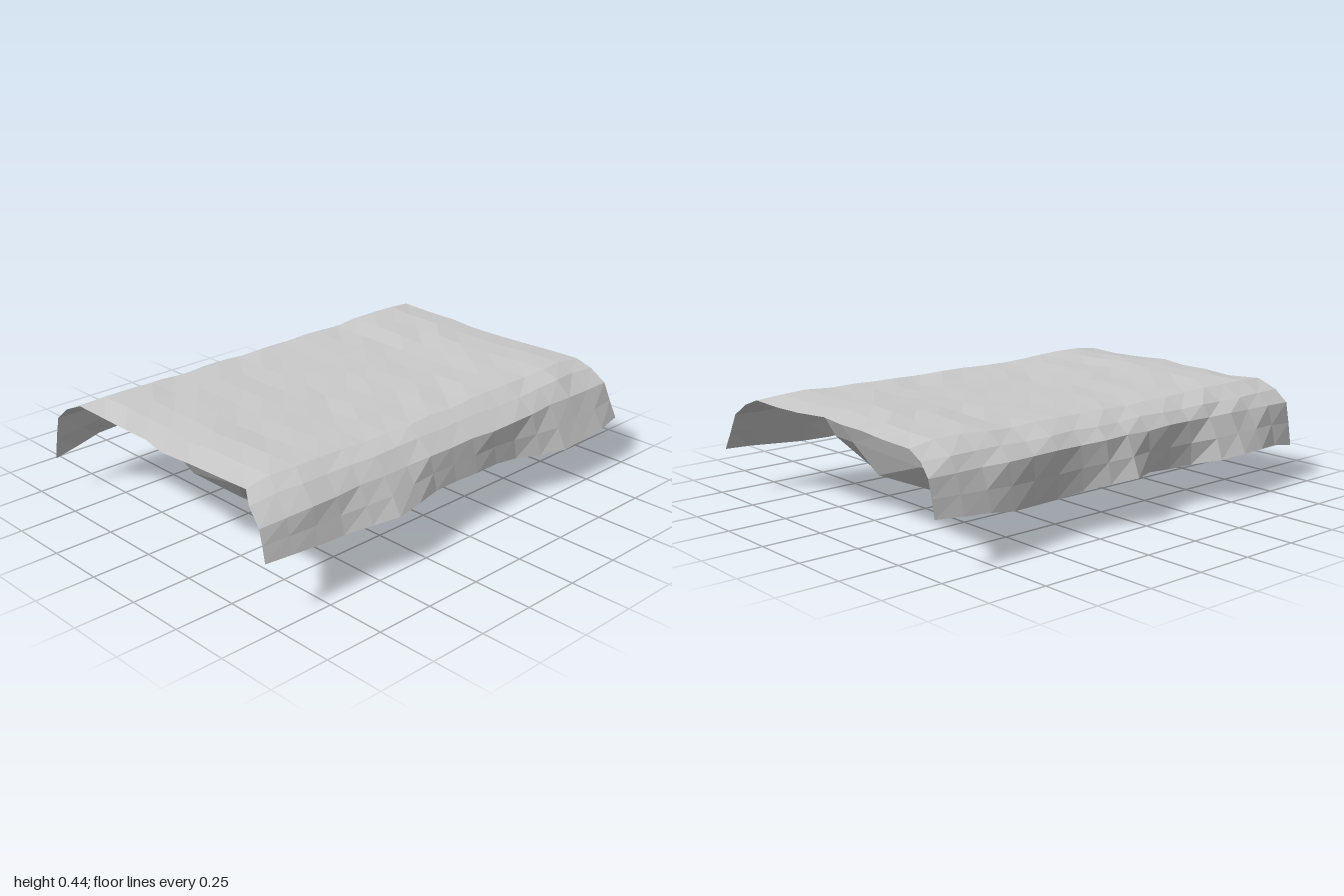
import * as THREE from 'three';

const { lerp } = THREE.MathUtils;
const material = new THREE.MeshStandardMaterial({
  color: 0xcccccc, flatShading: true, side: THREE.DoubleSide,
});

// Seeded noise in the range -1..1
function makeNoise(seed) {
  let s = seed;
  return () => {
    s = (s * 16807) % 2147483647;
    return (s / 2147483647) * 2 - 1;
  };
}

// Builds a surface from equally long rows of points
function loft(rows, closed, name) {
  const n = rows[0].length;
  const index = [];
  for (let r = 0; r < rows.length - 1; r++) {
    for (let i = 0; i < (closed ? n : n - 1); i++) {
      const j = (i + 1) % n;
      const a = r * n + i, b = r * n + j, c = a + n, d = b + n;
      index.push(a, c, b, b, c, d);
    }
  }
  const geometry = new THREE.BufferGeometry();
  geometry.setAttribute('position', new THREE.Float32BufferAttribute(rows.flat(2), 3));
  geometry.setIndex(index);
  geometry.computeVertexNormals();
  const mesh = new THREE.Mesh(geometry, material);
  mesh.name = name;
  return mesh;
}

// Depth and height of the wavy hems, from the right end (-x) to the left end (+x)
const backHemZ = [-0.69, -0.70, -0.73, -0.74, -0.72, -0.66, -0.65, -0.66, -0.72,
  -0.69, -0.66, -0.65, -0.66, -0.69, -0.70, -0.70, -0.69];
const backHemY = [0.16, 0.18, 0.19, 0.19, 0.18, 0.17, 0.17, 0.18, 0.19,
  0.18, 0.17, 0.16, 0.16, 0.17, 0.19, 0.20, 0.21];
const frontHemZ = [0.69, 0.69, 0.69, 0.69, 0.71, 0.73, 0.71, 0.68, 0.67,
  0.67, 0.66, 0.66, 0.69, 0.72, 0.72, 0.72, 0.70];
const frontHemY = [0.24, 0.23, 0.22, 0.215, 0.215, 0.215, 0.22, 0.22, 0.215,
  0.21, 0.205, 0.19, 0.175, 0.17, 0.18, 0.19, 0.20];

// Flat top sheet that droops over the front and back edges
function turf() {
  const noise = makeNoise(77);
  // z, y, left x, right x, and how far the row follows its hem
  const profile = [
    [-0.70, 0.18, -0.95, 0.98, 1], [-0.69, 0.27, -0.95, 0.98, 0.5], [-0.66, 0.35, -0.94, 0.98, 0],
    [-0.61, 0.395, -0.93, 0.97, 0], [-0.53, 0.43, -0.92, 0.97, 0], [-0.37, 0.427, -0.91, 0.96, 0],
    [-0.22, 0.43, -0.92, 0.95, 0], [-0.08, 0.433, -0.92, 0.94, 0], [0.06, 0.433, -0.95, 0.93, 0],
    [0.20, 0.43, -0.93, 0.95, 0], [0.35, 0.43, -0.92, 0.96, 0], [0.50, 0.432, -0.92, 0.96, 0],
    [0.57, 0.40, -0.96, 0.97, 0], [0.64, 0.35, -0.98, 0.98, 0],
    [0.67, 0.28, -0.99, 0.99, 0.5], [0.70, 0.20, -1.00, 1.00, 1],
  ];
  const columns = 16;
  const rows = profile.map(([z, y, left, right, follow]) => {
    const hemZ = z < 0 ? backHemZ : frontHemZ;
    const hemY = z < 0 ? backHemY : frontHemY;
    const shoulderZ = z < 0 ? -0.66 : 0.64;
    const row = [];
    for (let i = 0; i <= columns; i++) {
      const u = (i / columns) * 2 - 1;
      const x = lerp(left, right, i / columns);
      if (follow > 0) {
        row.push([x, lerp(0.35, hemY[i], follow), lerp(shoulderZ, hemZ[i], follow)]);
      } else {
        // the sheet rises a little shortly before both ends
        const rise = Math.abs(z) < 0.6 ? 0.02 * Math.sin(Math.PI * u * u) * u * u : 0;
        row.push([x, y + rise + 0.004 * noise(), z + 0.008 * noise()]);
      }
    }
    return row;
  });
  return loft(rows, false, 'turf');
}

// Faceted bowl of rock hanging below the sheet
function rock() {
  const noise = makeNoise(4321);
  // y, half width, half depth, x shift, z shift, squareness exponent for each ring
  const rings = [
    [0.43, 0.79, 0.63, -0.01, -0.01, 0.45], [0.27, 0.71, 0.57, 0, -0.02, 0.5],
    [0.14, 0.62, 0.47, 0.01, -0.05, 0.6], [0.095, 0.48, 0.40, 0, -0.05, 0.7],
    [0.085, 0.36, 0.32, 0, -0.02, 0.75], [0.04, 0.25, 0.22, 0, 0, 0.8],
    [0.01, 0.12, 0.12, -0.04, 0, 0.9], [0.003, 0, 0, -0.08, -0.03, 1],
  ];
  const sides = 20;
  const power = (v, e) => Math.sign(v) * Math.abs(v) ** e;
  const rows = rings.map(([y, hx, hz, sx, sz, e], r) => {
    const rough = r === 0 || y < 0.03 ? 0 : 1;
    const row = [];
    for (let i = 0; i < sides; i++) {
      const a = ((i + 0.5) / sides) * Math.PI * 2;
      const k = 1 + 0.035 * rough * noise();
      const z = sz + hz * k * power(Math.sin(a), e);
      // the rim follows the droop of the sheet
      const droop = r === 0 ? 0.75 * Math.max(0, Math.abs(z) - 0.52) : 0;
      row.push([
        sx + hx * k * power(Math.cos(a), e),
        y - droop + 0.012 * rough * noise(),
        z,
      ]);
    }
    // rings run downwards, so reversing them makes the faces point outwards
    return row.reverse();
  });
  return loft(rows, true, 'rock');
}

export function createModel() {
  const model = new THREE.Group();
  model.name = 'floatingGround';
  model.add(turf(), rock());
  return model;
}
